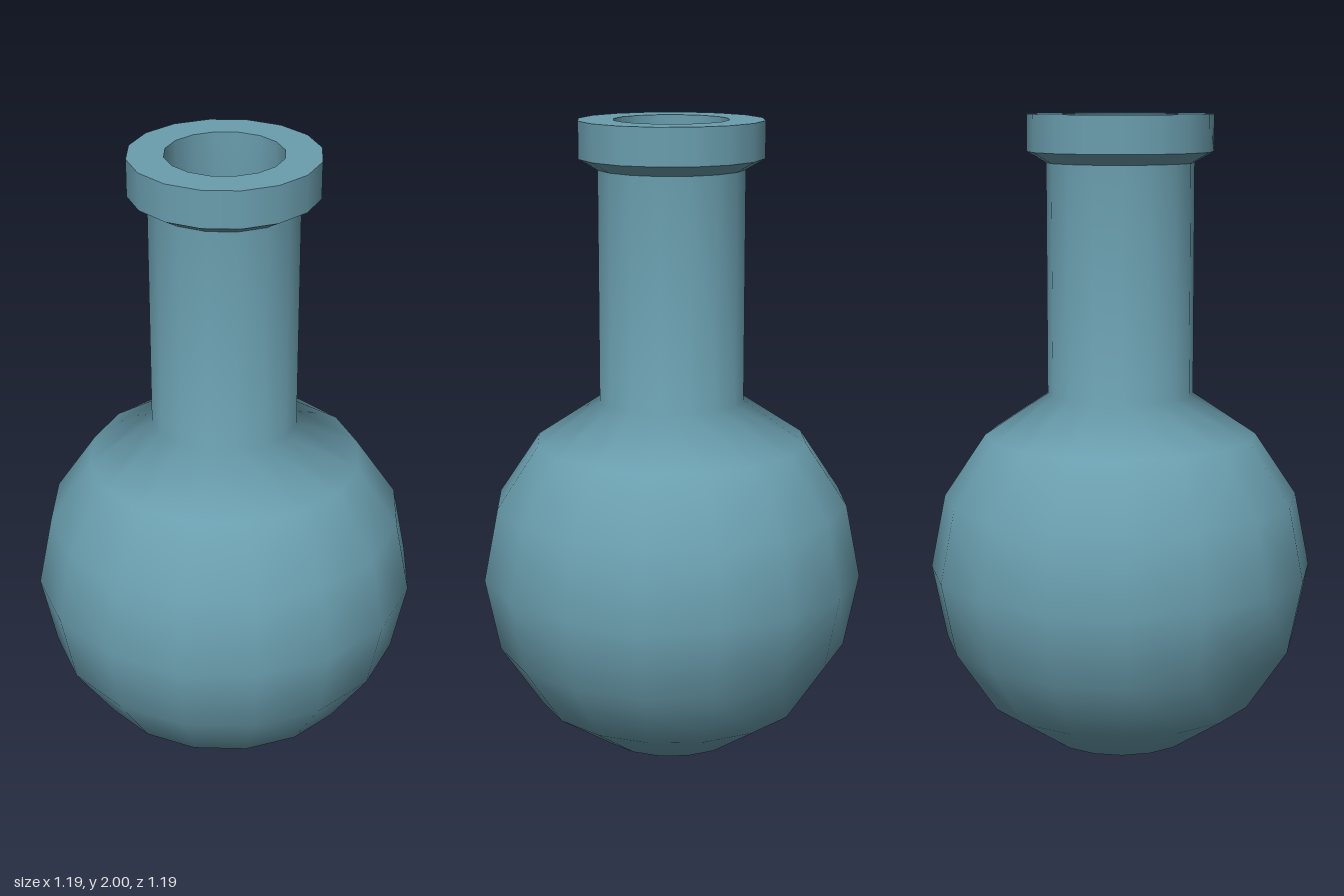
import * as THREE from 'three';

const SIDES = 16;

// Points on a sphere's profile, from the bottom pole up in 22.5 degree steps
function bulbProfile(radius, steps) {
  const points = [];
  for (let i = 0; i <= steps; i++) {
    const a = (i * Math.PI) / 8;
    points.push([radius * Math.sin(a), 0.6 - radius * Math.cos(a)]);
  }
  points[0][0] = 0;
  return points;
}

export function createModel() {
  const group = new THREE.Group();
  group.name = 'flask';
  const glass = new THREE.MeshStandardMaterial({ color: 0x6a9eae });
  glass.name = 'blue glass';

  // Each profile is turned separately so that edges between them stay sharp
  const turn = (name, profile) => {
    const points = profile.map(([r, y]) => new THREE.Vector2(r, y));
    const mesh = new THREE.Mesh(new THREE.LatheGeometry(points, SIDES), glass);
    mesh.name = name;
    group.add(mesh);
  };

  // Round body flowing into the straight neck
  const outer = bulbProfile(0.594, 6);
  outer[0][1] = 0;
  turn('bodyAndNeck', [...outer, [0.225, 1.15], [0.225, 1.855]]);

  // Collar around the mouth
  turn('collarUnderside', [[0.225, 1.855], [0.283, 1.888]]);
  turn('collarBand', [[0.283, 1.888], [0.283, 2]]);
  turn('collarTop', [[0.283, 2], [0.175, 2]]);

  // Hollow inside, running from the mouth down to the floor
  const inner = bulbProfile(0.545, 6).reverse();
  turn('innerWall', [[0.175, 2], [0.175, 1.12], ...inner]);

  return group;
}
